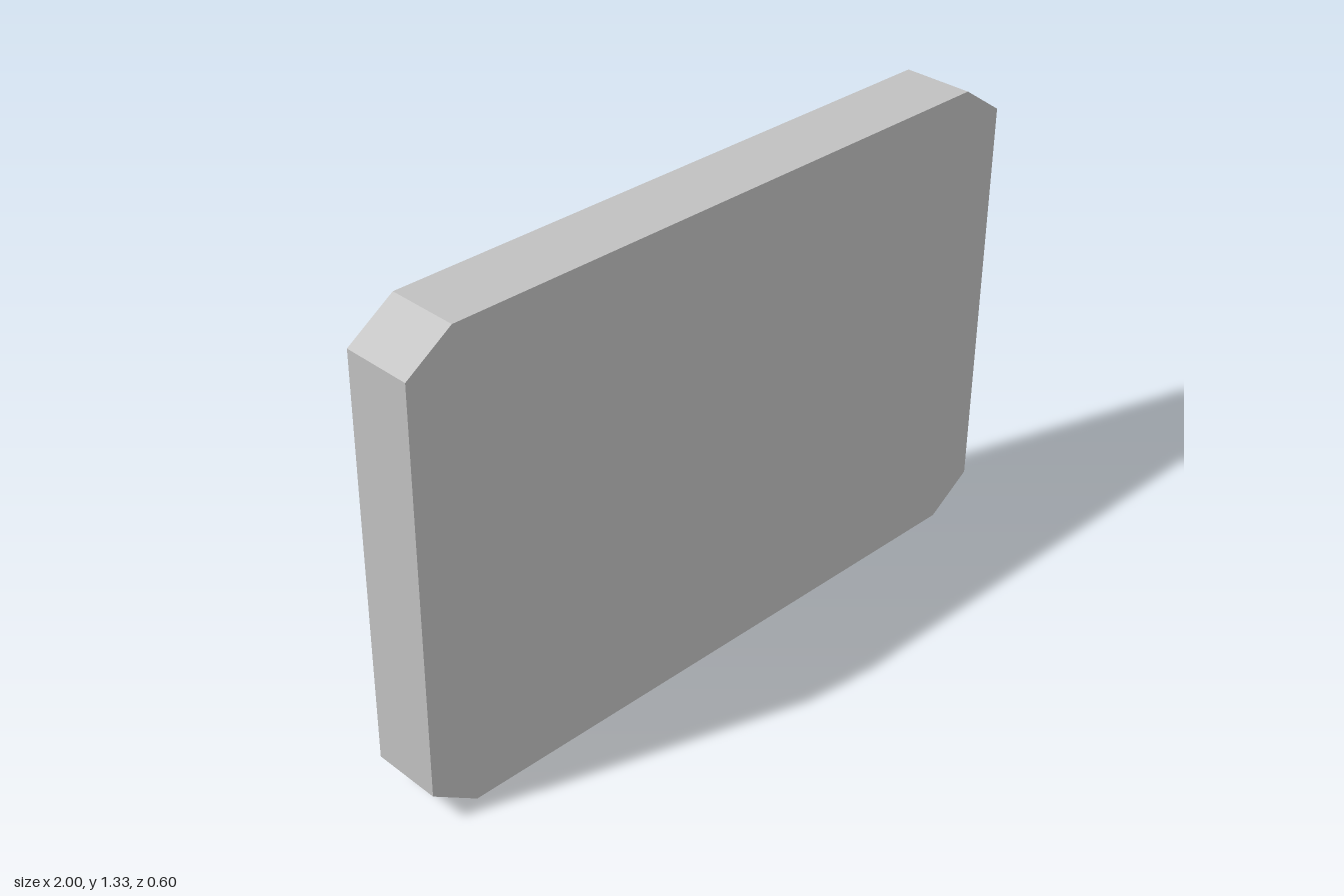
import * as THREE from 'three';

export function createModel() {
  const group = new THREE.Group();
  const grey = new THREE.MeshStandardMaterial({ color: 0xc0c0c0 });
  grey.name = 'light grey';

  const halfWidth = 1, height = 1.333, depth = 0.2, cutX = 0.133, cutY = 0.09;
  const backZ = 0.1, domeRadius = 0.4;

  // Upright plate with clipped corners
  const outline = new THREE.Shape([
    [-halfWidth + cutX, 0], [halfWidth - cutX, 0],
    [halfWidth, cutY], [halfWidth, height - cutY],
    [halfWidth - cutX, height], [-halfWidth + cutX, height],
    [-halfWidth, height - cutY], [-halfWidth, cutY],
  ].map(([x, y]) => new THREE.Vector2(x, y)));
  const plate = new THREE.Mesh(
    new THREE.ExtrudeGeometry(outline, { depth, bevelEnabled: false }), grey);
  plate.name = 'plate';
  plate.position.z = backZ;
  group.add(plate);

  // Smooth half-sphere bulging from the back of the plate
  const domeGeometry = new THREE.SphereGeometry(domeRadius, 64, 24, 0, Math.PI * 2, 0, Math.PI / 2);
  domeGeometry.rotateX(-Math.PI / 2);
  const dome = new THREE.Mesh(domeGeometry, grey);
  dome.name = 'backDome';
  dome.position.set(0, height / 2, backZ);
  group.add(dome);

  return group;
}
